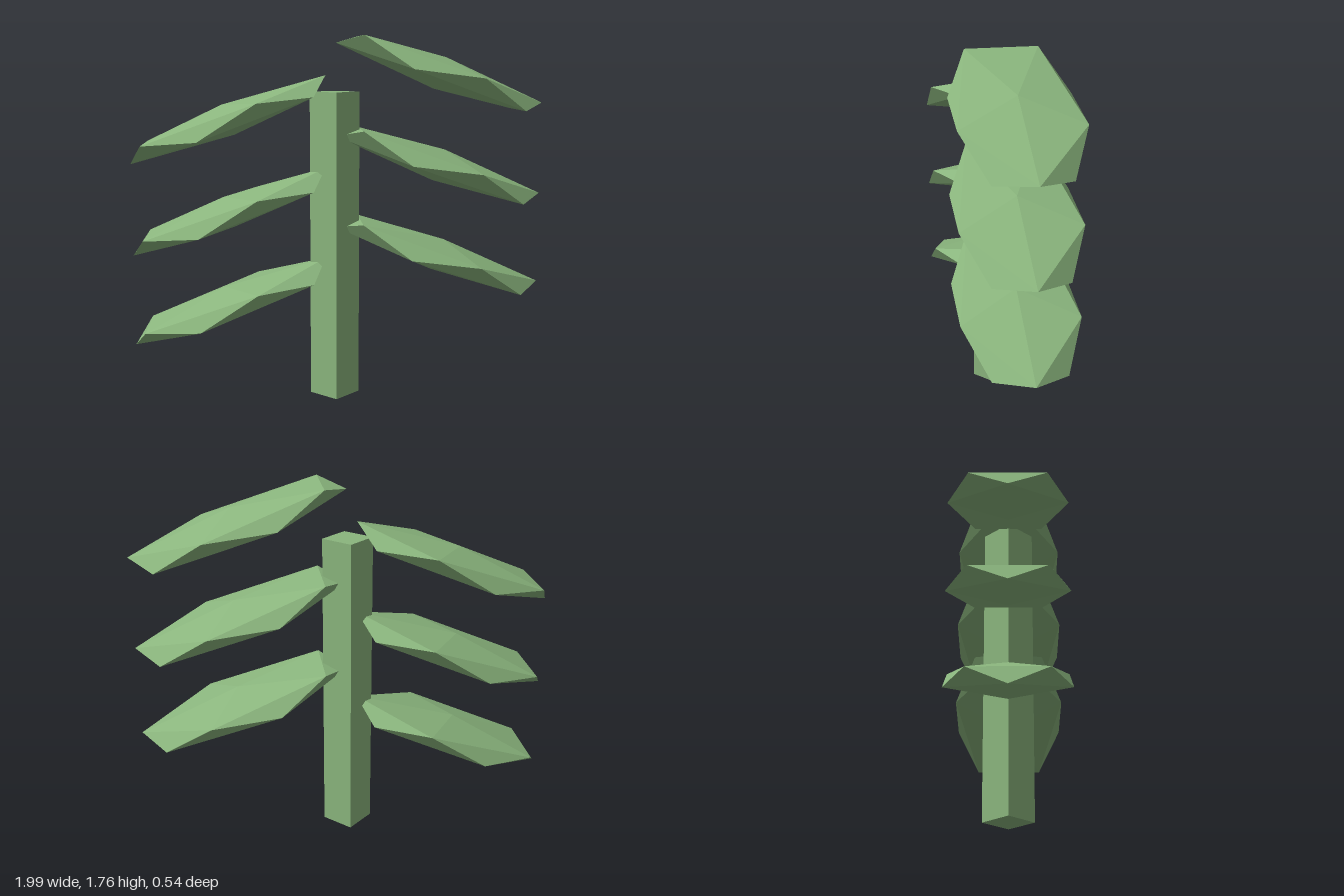
import * as THREE from 'three';

export function createModel() {
  const model = new THREE.Group();
  const green = new THREE.MeshStandardMaterial({ color: 0x8ab57d });
  green.name = 'leaf green';
  green.flatShading = true;

  // Square stem, turned so that its corners face the axes
  const stem = new THREE.Mesh(new THREE.CylinderGeometry(0.12, 0.12, 1.5, 4), green);
  stem.name = 'stem';
  stem.position.set(-0.015, 0.75, 0);
  model.add(stem);

  // Leaf blade: an icosahedron squashed and slanted along two axes in the xy plane
  function leafGeometry(ax, ay, bx, by) {
    const slant = new THREE.Matrix4().set(
      ax, bx, 0, 0,
      ay, by, 0, 0,
      0, 0, 0.318, 0,
      0, 0, 0, 1
    );
    const geometry = new THREE.IcosahedronGeometry(1, 0).applyMatrix4(slant);
    geometry.computeVertexNormals();
    return geometry;
  }

  // Three leaves stacked up each side of the stem
  const sides = [
    { name: 'leftLeaf', x: 0.495, y: 0.698, geometry: leafGeometry(0.452, -0.208, 0.314, -0.04) },
    { name: 'rightLeaf', x: -0.527, y: 0.478, geometry: leafGeometry(0.472, 0.131, 0.258, 0.166) },
  ];
  for (const { name, x, y, geometry } of sides) {
    for (let i = 0; i < 3; i++) {
      const leaf = new THREE.Mesh(geometry, green);
      leaf.name = name + (i + 1);
      leaf.position.set(x, y + i * 0.445, 0);
      model.add(leaf);
    }
  }
  return model;
}
